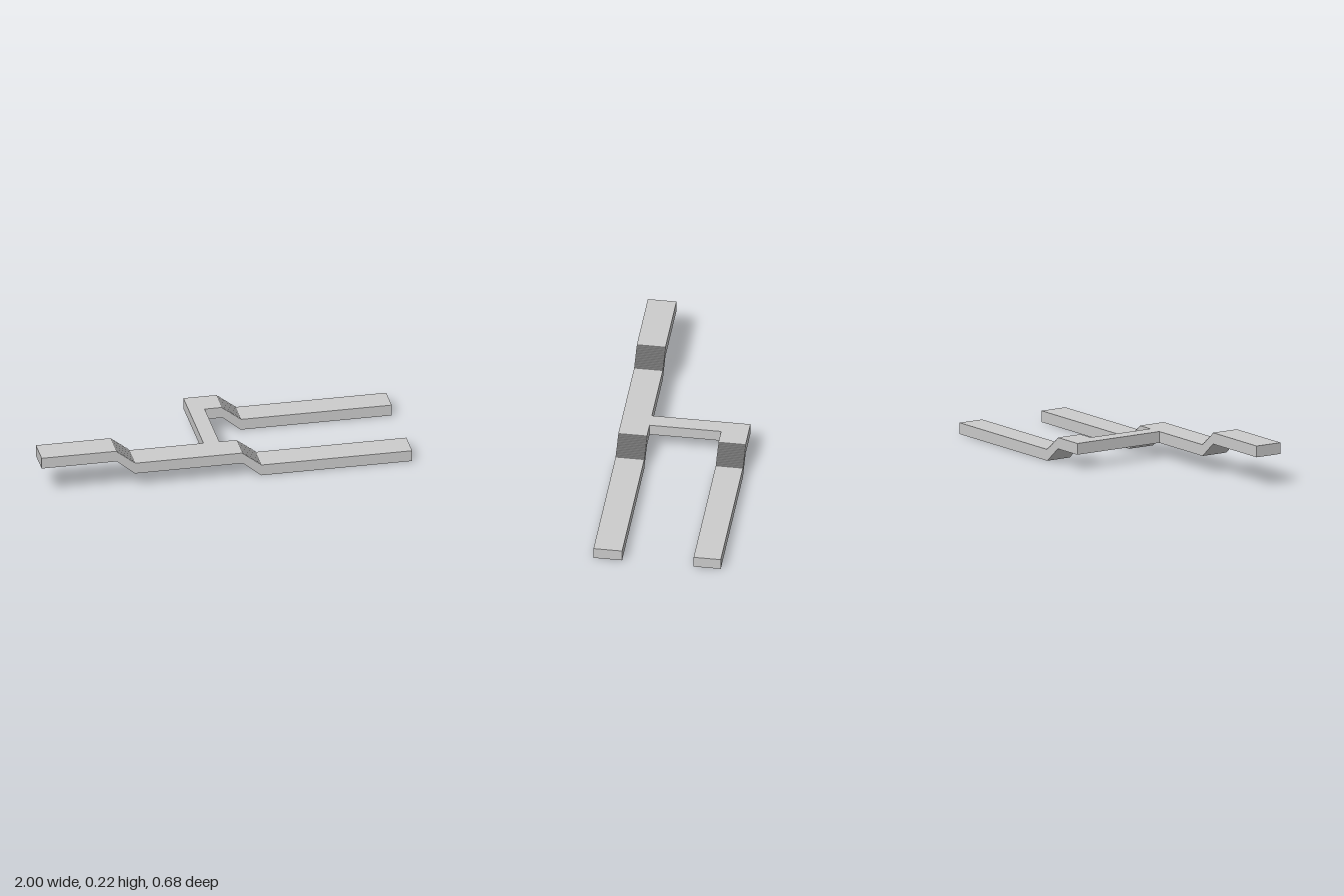
import * as THREE from 'three';

const THICK = 0.061;                       // slab thickness
const LEVELS = [0.061, 0.143, 0.225];      // top of the low, middle and high walkway
const FRONT = [0.187, 0.34];               // z range of the front walkway
const BACK = [-0.34, -0.195];              // z range of the back walkway
const STEPS = 15;

export function createModel() {
  const group = new THREE.Group();
  const material = new THREE.MeshStandardMaterial({ color: 0xcccccc, flatShading: true });

  const add = (name, geometry) => {
    const mesh = new THREE.Mesh(geometry, material);
    mesh.name = name;
    group.add(mesh);
  };

  // Side profile: level slab, stepped flight with sloping underside, level slab
  const stairRun = (name, [z0, z1], xStart, xTop, xFoot, xEnd, yHigh, yLow) => {
    const points = [];
    const point = (x, y) => {
      const last = points[points.length - 1];
      if (!last || Math.hypot(last.x - x, last.y - y) > 1e-5) points.push(new THREE.Vector2(x, y));
    };
    point(xStart, yHigh - THICK);
    point(xStart, yHigh);
    const tread = (xFoot - xTop) / (STEPS - 1);
    const riser = (yHigh - yLow) / STEPS;
    for (let i = 0; i < STEPS; i++) {
      point(xTop + i * tread, yHigh - i * riser);
      point(xTop + i * tread, yHigh - (i + 1) * riser);
    }
    point(xEnd, yLow);
    point(xEnd, yLow - THICK);
    point(xFoot, yLow - THICK);
    point(xTop, yHigh - THICK);
    const geometry = new THREE.ExtrudeGeometry(new THREE.Shape(points), { depth: z1 - z0, bevelEnabled: false });
    add(name, geometry.translate(0, 0, z0));
  };

  const [low, middle, high] = LEVELS;
  const xHigh = -0.497, xLow = 0.086;      // ends of the middle landing

  // High walkway with its flight down to the landing
  stairRun('upperWalkwayAndStairs', FRONT, -1, -0.594, xHigh, xHigh, high, middle);

  // Two low walkways with their flights from the landing
  stairRun('frontLowerWalkwayAndStairs', FRONT, xLow, xLow, 0.185, 1, middle, low);
  stairRun('backLowerWalkwayAndStairs', BACK, xLow, xLow, 0.185, 1, middle, low);

  // Middle landing: front strip, cross bridge and back corner, drawn in plan
  const plan = [
    [xHigh, FRONT[1]], [xLow, FRONT[1]], [xLow, FRONT[0]], [-0.01, FRONT[0]],
    [-0.01, BACK[1]], [xLow, BACK[1]], [xLow, BACK[0]], [-0.095, BACK[0]],
    [-0.095, FRONT[0]], [xHigh, FRONT[0]],
  ].map(([x, z]) => new THREE.Vector2(x, -z));
  const landing = new THREE.ExtrudeGeometry(new THREE.Shape(plan), { depth: THICK, bevelEnabled: false });
  add('middleLandingAndBridge', landing.rotateX(-Math.PI / 2).translate(0, middle - THICK, 0));

  return group;
}
